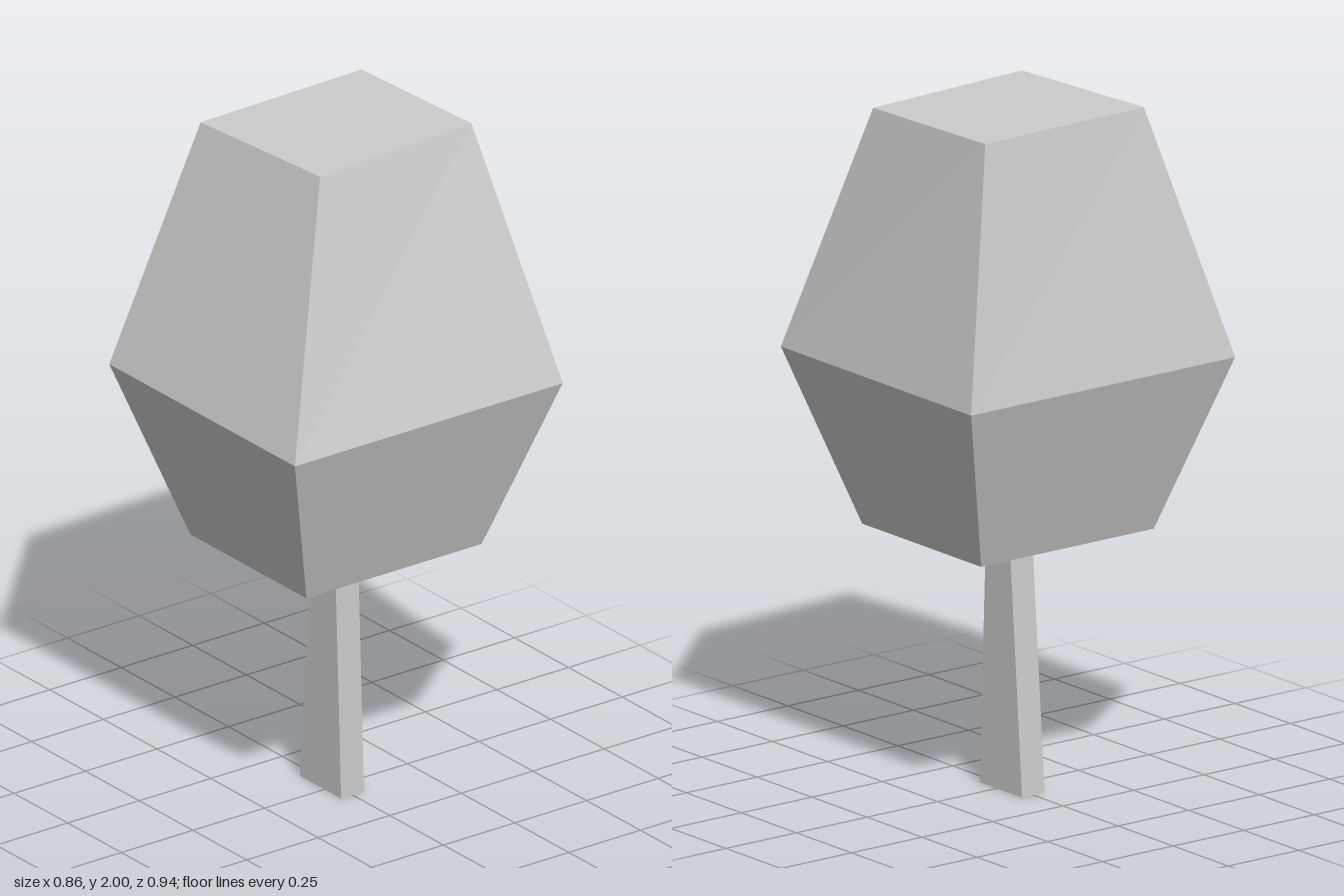
import * as THREE from 'three';

// Corners of a level rectangle, counter-clockwise seen from above
const rect = (x0, x1, z) => [[x0, z], [x1, z], [x1, -z], [x0, -z]];

// Closed faceted solid through four-cornered rings, listed from bottom to top
function loft(name, rings) {
  const positions = [];
  const quad = (a, b, c, d) => positions.push(...a, ...b, ...c, ...a, ...c, ...d);
  const loops = rings.map(({ y, corners }) => corners.map(([x, z]) => [x, y, z]));
  for (let r = 0; r < loops.length - 1; r++) {
    for (let i = 0; i < 4; i++) {
      const j = (i + 1) % 4;
      quad(loops[r][i], loops[r][j], loops[r + 1][j], loops[r + 1][i]);
    }
  }
  quad(...[...loops[0]].reverse());
  quad(...loops[loops.length - 1]);

  const geometry = new THREE.BufferGeometry();
  geometry.setAttribute('position', new THREE.Float32BufferAttribute(positions, 3));
  geometry.computeVertexNormals();
  const material = new THREE.MeshStandardMaterial({ color: 0xcccccc, flatShading: true });
  const mesh = new THREE.Mesh(geometry, material);
  mesh.name = name;
  return mesh;
}

export function createModel() {
  const tree = new THREE.Group();
  tree.name = 'tree';

  // Flat trunk, wider at the foot and slightly off centre
  tree.add(loft('trunk', [
    { y: 0, corners: rect(-0.115, 0.077, 0.04) },
    { y: 0.76, corners: rect(-0.057, 0.048, 0.04) },
  ]));

  // Blocky crown, widest at the middle, with a skewed top
  tree.add(loft('crown', [
    { y: 0.757, corners: rect(-0.27, 0.27, 0.306) },
    { y: 1.265, corners: rect(-0.432, 0.432, 0.468) },
    { y: 2, corners: [[-0.292, 0.254], [0.203, 0.208], [0.168, -0.347], [-0.307, -0.32]] },
  ]));

  return tree;
}
